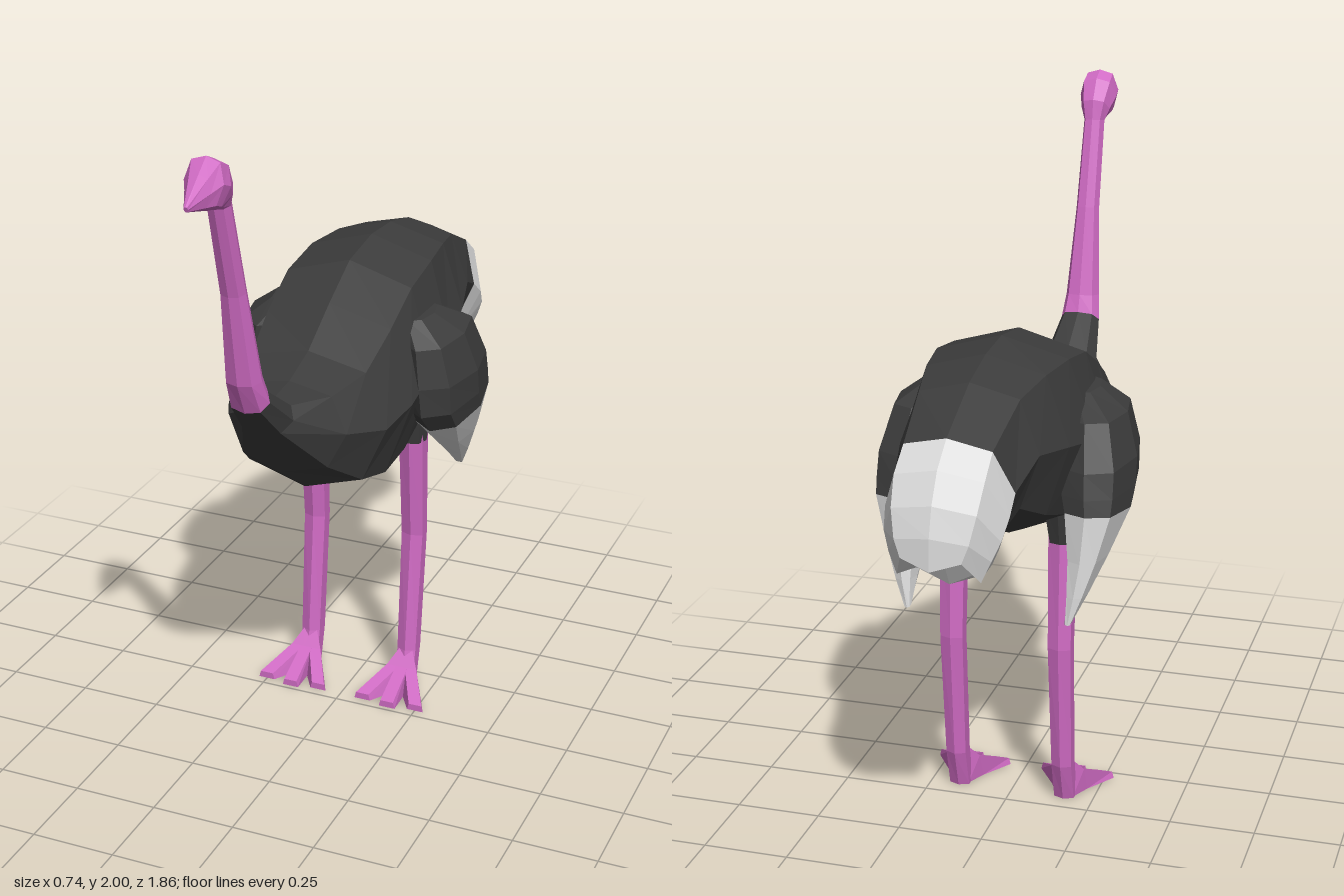
import * as THREE from 'three';

const mat = (name, color) => {
  const m = new THREE.MeshStandardMaterial({ color });
  m.name = name;
  return m;
};

// Cross-section outlines, counter-clockwise, in units of half width and half height
const ROUND = [[0, 1], [-0.72, 0.82], [-1, 0.05], [-0.72, -0.74], [0, -1], [0.72, -0.74], [1, 0.05], [0.72, 0.82]];
const SLIM = [[0, 1], [-0.8, 0.6], [-0.8, -0.6], [0, -1], [0.8, -0.6], [0.8, 0.6]]
  .map(([x, y]) => [x * 1.25, y]);
const SQUARE = [[0.8, 1], [-0.8, 1], [-1, -1], [1, -1]];

// Faceted loft; each ring is [z1, y1, z2, y2, halfWidth, xCentre, zigzag],
// where (z1, y1) and (z2, y2) are the two ends of its middle line.
function loft(rings, profile = ROUND, capLift = 0) {
  const pts = rings.map(([z1, y1, z2, y2, w, xc = 0, zig = 0]) =>
    profile.map(([px, py], j) => new THREE.Vector3(
      xc + px * w,
      (y1 + y2) / 2 + py * (y1 - y2) / 2 + (j % 2 ? zig : 0),
      (z1 + z2) / 2 + py * (z1 - z2) / 2)));
  const centre = (ring) => ring.reduce((s, p) => s.add(p), new THREE.Vector3()).divideScalar(ring.length);
  const first = pts[0], last = pts[pts.length - 1];
  const c0 = centre(first), c1 = centre(last);
  c1.y += capLift;
  const out = [];
  const n = profile.length;
  for (let j = 0; j < n; j++) {
    const k = (j + 1) % n;
    for (let i = 0; i + 1 < pts.length; i++) {
      const a = pts[i][j], b = pts[i][k], c = pts[i + 1][k], d = pts[i + 1][j];
      out.push(a, d, c, a, c, b);
    }
    out.push(c0, first[j], first[k], c1, last[k], last[j]);
  }
  // Unshared corners keep every facet flat
  const g = new THREE.BufferGeometry().setFromPoints(out);
  g.computeVertexNormals();
  return g;
}

export function createModel() {
  const model = new THREE.Group();
  model.name = 'ostrich';
  const skin = mat('pink skin', 0xd06bc4);
  const dark = mat('dark plumage', 0x3c3c3c);
  const pale = mat('pale plumage', 0xdadada);

  const add = (parent, name, geometry, material) => {
    const m = new THREE.Mesh(geometry, material);
    m.name = name;
    parent.add(m);
  };

  // Head with beak, running from the beak tip back to the top of the neck
  const neckTop = [0.715, 1.86, 0.775, 1.85, 0.032];
  add(model, 'head', loft([
    [0.93, 1.905, 0.925, 1.89, 0.006],
    [0.855, 1.965, 0.87, 1.875, 0.036],
    [0.81, 2.0, 0.845, 1.868, 0.055],
    [0.765, 1.98, 0.82, 1.86, 0.057],
    [0.725, 1.92, 0.795, 1.855, 0.045],
    neckTop,
  ]), skin);

  // Long neck
  const neckBase = [0.56, 1.285, 0.62, 1.23, 0.06];
  add(model, 'neck', loft([
    neckTop,
    [0.643, 1.6, 0.705, 1.59, 0.036],
    [0.578, 1.335, 0.663, 1.325, 0.052],
    neckBase,
  ]), skin);

  // Body from the neck base to the rump
  const rump = [-0.77, 1.31, -0.65, 0.985, 0.168];
  add(model, 'body', loft([
    neckBase,
    [0.44, 1.2, 0.53, 1.13, 0.08],
    [0.33, 1.21, 0.37, 0.95, 0.18],
    [0.2, 1.25, 0.23, 0.84, 0.245],
    [0.05, 1.34, 0.09, 0.785, 0.265],
    [-0.1, 1.42, -0.05, 0.79, 0.27],
    [-0.27, 1.445, -0.2, 0.835, 0.265],
    [-0.42, 1.435, -0.42, 0.92, 0.235],
    [-0.57, 1.4, -0.58, 1.01, 0.195],
    rump,
  ]), dark);

  // Drooping tail with a ragged, hollow end
  add(model, 'tail', loft([
    rump,
    [-0.85, 1.25, -0.69, 0.955, 0.17],
    [-0.9, 1.17, -0.725, 0.935, 0.16],
    [-0.925, 1.09, -0.745, 0.92, 0.14],
    [-0.93, 1.0, -0.76, 0.9, 0.115, 0, 0.035],
  ], ROUND, 0.08), pale);

  for (const s of [1, -1]) {
    const side = s > 0 ? 'left' : 'right';

    // Folded wing: dark upper part and pale feather tip
    const wing = new THREE.Group();
    wing.name = side + 'Wing';
    const hem = [-0.41, 0.985, -0.05, 0.945, 0.09, s * 0.275];
    add(wing, 'wingCover', loft([
      [-0.22, 1.28, -0.05, 1.28, 0.05, s * 0.2],
      [-0.32, 1.225, 0.01, 1.215, 0.085, s * 0.25],
      [-0.38, 1.1, 0.02, 1.1, 0.105, s * 0.265],
      [-0.4, 1.03, 0.01, 1.01, 0.1, s * 0.27],
      hem,
    ]), dark);
    add(wing, 'wingTip', loft([
      hem,
      [-0.42, 0.85, -0.19, 0.84, 0.055, s * 0.265],
      [-0.43, 0.75, -0.32, 0.75, 0.03, s * 0.25],
      [-0.435, 0.67, -0.41, 0.685, 0.01, s * 0.235],
    ]), pale);
    model.add(wing);

    // Leg, from the thigh down to the heel
    const leg = new THREE.Group();
    leg.name = side + 'Leg';
    const x = s * 0.163;
    add(leg, 'thigh', loft([
      [-0.28, 0.96, -0.14, 0.96, 0.06, x],
      [-0.255, 0.835, -0.165, 0.835, 0.042, x],
    ]), dark);
    add(leg, 'shank', loft([
      [-0.25, 0.88, -0.17, 0.88, 0.038, x],
      [-0.265, 0.51, -0.2, 0.51, 0.034, x],
      [-0.235, 0.12, -0.165, 0.12, 0.03, x],
      [-0.2, 0, -0.14, 0, 0.03, x],
    ], SLIM), skin);

    // Three spread toes
    for (const d of [-1, 0, 1]) {
      add(leg, 'toe', loft([
        [d ? -0.03 : -0.015, 0.02, d ? -0.03 : -0.015, 0, 0.026, x + d * 0.088],
        [-0.14, 0.075, -0.12, 0, 0.024, x + d * 0.03],
        [-0.175, 0.12, -0.18, 0, 0.02, x + d * 0.006],
      ], SQUARE), skin);
    }
    model.add(leg);
  }
  return model;
}
